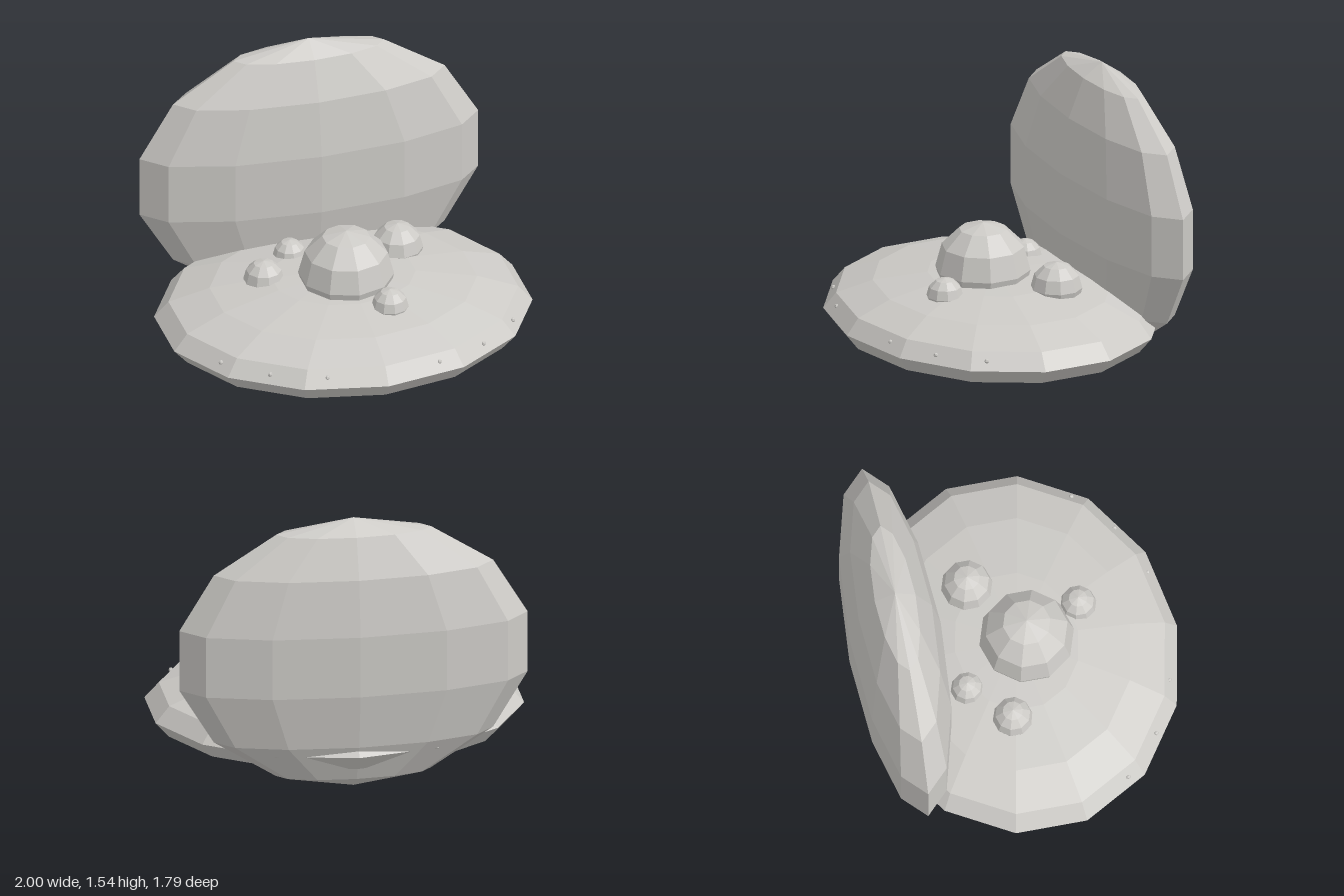
import * as THREE from 'three';

export function createModel() {
  const model = new THREE.Group();
  const grey = new THREE.MeshStandardMaterial({ color: 0xcccac6, flatShading: true });
  grey.name = 'pale grey';

  // Faceted ellipsoid; radii and position are [x, y, z]
  function ellipsoid(name, radii, position, sides, rows, turn = 0) {
    const geometry = new THREE.SphereGeometry(1, sides, rows);
    geometry.rotateY(turn);
    geometry.scale(...radii);
    const mesh = new THREE.Mesh(geometry, grey);
    mesh.name = name;
    mesh.position.set(...position);
    model.add(mesh);
  }

  // Flat lower shell and the upright shell behind it
  ellipsoid('lowerShell', [1.026, 0.23, 0.876], [0, 0.235, 0.015], 14, 8, Math.PI / 2);
  ellipsoid('upperShell', [0.97, 0.77, 0.256], [0, 0.77, -0.648], 12, 7);

  // Large dome and small domes: x, y, z, radius
  const domes = [
    [0, 0.486, 0.07, 0.258],
    [0.36, 0.45, -0.188, 0.14],
    [-0.415, 0.43, -0.085, 0.11],
    [0.155, 0.43, 0.38, 0.1],
    [-0.21, 0.43, -0.295, 0.09],
  ];
  domes.forEach(([x, y, z, r], i) =>
    ellipsoid(i === 0 ? 'centreDome' : 'smallDome' + i, [r, r, r], [x, y, z], 10, 6, Math.PI / 2));

  // Tiny studs along the front rim, mirrored
  const studs = [
    [0.815, 0.282, 0.47],
    [0.596, 0.279, 0.664],
    [0.313, 0.283, 0.79],
  ];
  for (const side of [-1, 1]) {
    studs.forEach(([x, y, z], i) =>
      ellipsoid((side > 0 ? 'left' : 'right') + 'RimStud' + (i + 1), [0.013, 0.013, 0.013], [side * x, y, z], 6, 4));
  }
  return model;
}
